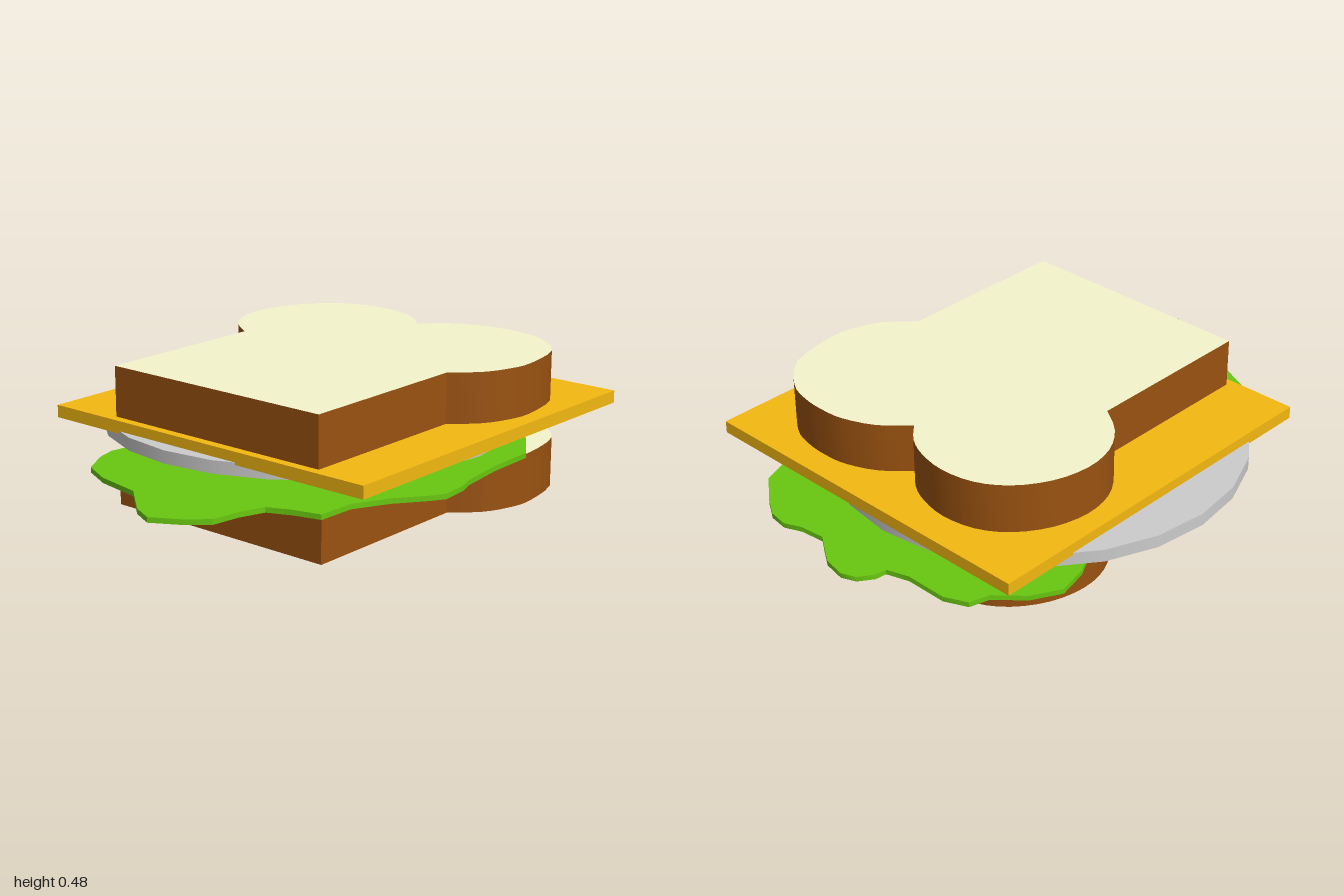
import * as THREE from 'three';
import { toCreasedNormals } from 'three/addons/utils/BufferGeometryUtils.js';

const mat = (color) => new THREE.MeshStandardMaterial({ color });

// Points are [x, z] pairs on the ground plane.
const plan = (pairs) => pairs.map(([x, z]) => new THREE.Vector2(x, -z));

// Raises a plan outline into a slab from y to y + height.
function slab(name, shape, y, height, materials, crease = 0.6) {
  let geo = new THREE.ExtrudeGeometry(shape, { depth: height, bevelEnabled: false, curveSegments: 24 });
  geo.rotateX(-Math.PI / 2);
  geo = toCreasedNormals(geo, crease);
  const mesh = new THREE.Mesh(geo, materials);
  mesh.name = name;
  mesh.position.y = y;
  return mesh;
}

// Bread slice: straight sides and two rounded lobes meeting in a notch.
function breadShape() {
  const rightLobe = [
    [0.535, -0.07], [0.62, -0.155], [0.662, -0.25], [0.675, -0.35], [0.634, -0.54],
    [0.52, -0.652], [0.425, -0.687], [0.33, -0.695], [0.24, -0.685], [0.13, -0.637], [0.04, -0.555],
  ];
  const leftLobe = [
    [0.04, -0.555], [-0.02, -0.615], [-0.1, -0.655], [-0.21, -0.675], [-0.33, -0.655],
    [-0.43, -0.59], [-0.505, -0.48], [-0.535, -0.35], [-0.515, -0.23], [-0.45, -0.13], [-0.355, -0.06],
  ];
  const outline = [
    ...plan([[-0.355, 0.578], [0.535, 0.578]]),
    ...new THREE.SplineCurve(plan(rightLobe)).getPoints(30),
    ...new THREE.SplineCurve(plan(leftLobe)).getPoints(30).slice(1),
  ];
  return new THREE.Shape(outline);
}

// Ragged leaf edge, counter-clockwise seen from above.
const leafEdge = [
  // front frill
  [-0.36, 0.6], [-0.34, 0.67], [-0.28, 0.77], [-0.17, 0.82], [0, 0.85], [0.13, 0.96], [0.21, 0.997],
  [0.31, 0.94], [0.375, 0.88], [0.39, 0.78], [0.42, 0.695], [0.5, 0.66], [0.595, 0.635],
  // left frill
  [0.6, 0.5], [0.66, 0.38], [0.735, 0.28], [0.765, 0.23], [0.757, 0.13], [0.737, 0.07],
  [0.715, -0.1], [0.71, -0.29], [0.62, -0.42], [0.52, -0.55], [0.54, -0.7], [0.5, -0.81],
  // back frill
  [0.4, -0.89], [0.33, -0.935], [0.26, -0.945], [0.2, -0.92], [0.11, -0.91], [0.06, -0.945],
  [0, -0.985], [-0.08, -1], [-0.13, -0.98], [-0.165, -0.93], [-0.17, -0.89], [-0.25, -0.865],
  [-0.4, -0.865], [-0.48, -0.83],
  // right side
  [-0.5, -0.76], [-0.59, -0.68], [-0.645, -0.58], [-0.62, -0.47], [-0.54, -0.32], [-0.45, -0.1],
  [-0.41, 0.07], [-0.39, 0.2], [-0.33, 0.4],
];

export function createModel() {
  const group = new THREE.Group();
  group.name = 'sandwich';

  // Slices share one outline: pale faces, brown crust
  const bread = [mat(0xf5f5cc), mat(0x9a5210)];
  const bottomBread = slab('bottomBread', breadShape(), 0, 0.175, bread);
  bottomBread.position.x = 0.016;
  bottomBread.position.z = 0.006;
  const topBread = slab('topBread', breadShape(), 0.3, 0.181, bread);

  // Lettuce leaf
  const lettuce = slab('lettuce', new THREE.Shape(plan(leafEdge)), 0.171, 0.018, mat(0x69c810));

  // Round slice of meat
  const meat = new THREE.Mesh(new THREE.CylinderGeometry(0.725, 0.725, 0.045, 24), mat(0xcccccc));
  meat.name = 'meatSlice';
  meat.position.set(-0.045, 0.247, -0.06);

  // Square slice of cheese
  const cheese = new THREE.Mesh(new THREE.BoxGeometry(1.348, 0.044, 1.4), mat(0xf4b811));
  cheese.name = 'cheeseSlice';
  cheese.position.set(0.063, 0.283, -0.09);

  group.add(bottomBread, lettuce, meat, cheese, topBread);
  return group;
}
